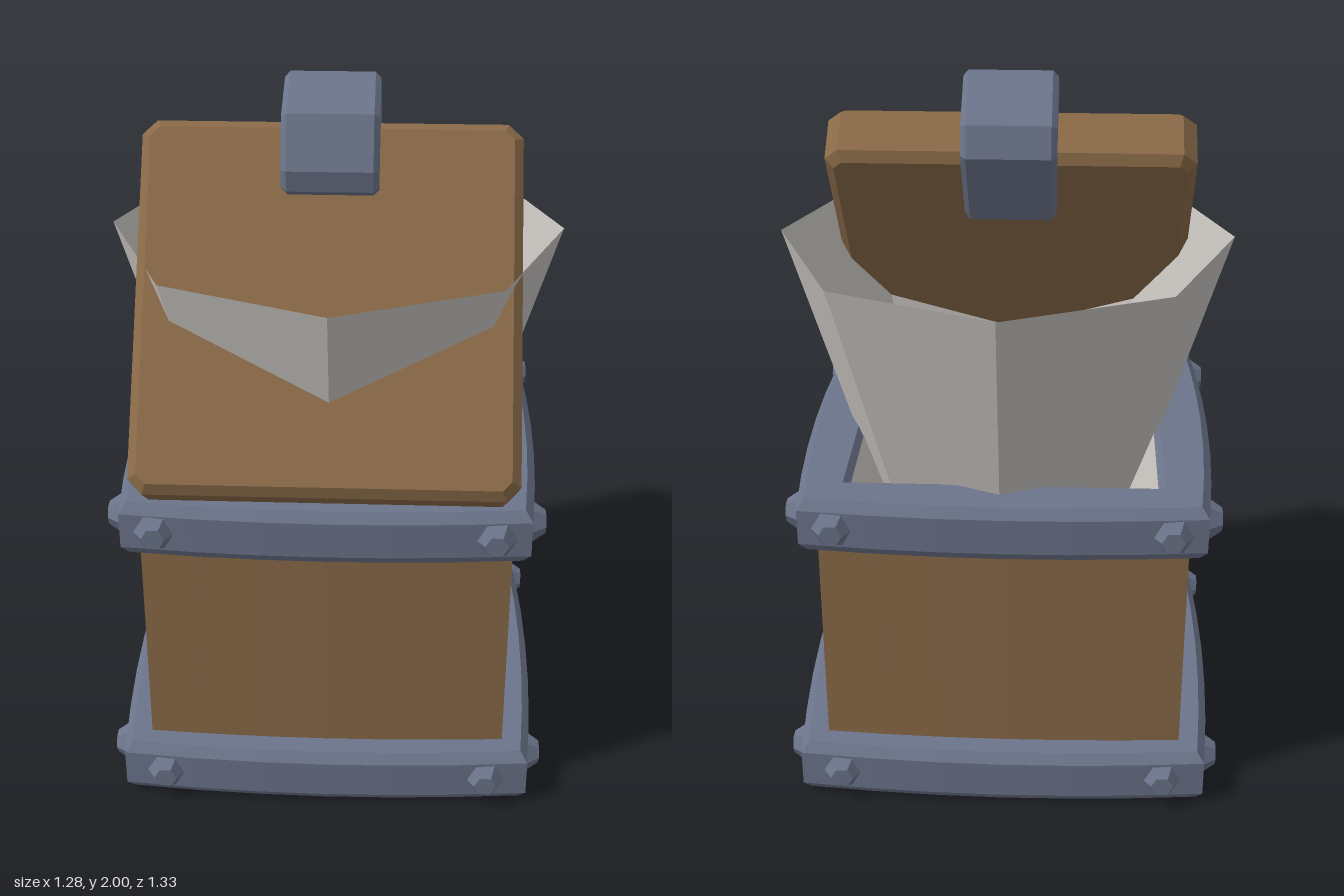
import * as THREE from 'three';

const mat = (name, color, extra = {}) => {
  const m = new THREE.MeshStandardMaterial({ color, flatShading: true, ...extra });
  m.name = name;
  return m;
};

// Square outline whose sides bulge outward by `bow` at the middle
function bowedSquare(corner, bow, steps = 6) {
  const pts = [];
  for (let side = 0; side < 4; side++) {
    for (let i = 0; i < steps; i++) {
      const t = -1 + (2 * i) / steps;
      const p = new THREE.Vector2(t * corner, -corner - bow * (1 - t * t));
      pts.push(p.rotateAround(new THREE.Vector2(), (side * Math.PI) / 2));
    }
  }
  return new THREE.Shape(pts);
}

function squareHole(h) {
  return new THREE.Path([[-h, -h], [-h, h], [h, h], [h, -h]].map(([x, y]) => new THREE.Vector2(x, y)));
}

// Upright prism between y0 and y1 with a chamfer on both rims
function prism(shape, y0, y1, bevelSize = 0, bevelThickness = 0) {
  const g = new THREE.ExtrudeGeometry(shape, {
    depth: y1 - y0 - 2 * bevelThickness, bevelEnabled: bevelSize > 0,
    bevelSize, bevelThickness, bevelSegments: 1,
  });
  return g.rotateX(-Math.PI / 2).translate(0, y0 + bevelThickness, 0);
}

export function createModel() {
  const root = new THREE.Group();
  const wood = mat('wood', 0x8a6a48);
  const metal = mat('metal', 0x6b748a);
  const cloth = mat('liner cloth', 0xc6c2be, { side: THREE.DoubleSide });

  const add = (name, geometry, material, parent = root) => {
    const m = new THREE.Mesh(geometry, material);
    m.name = name;
    parent.add(m);
    return m;
  };

  // Bin body, slightly off centre
  const bin = new THREE.Group();
  bin.name = 'bin';
  bin.position.set(-0.01, 0, 0.004);
  root.add(bin);

  const bodyShape = bowedSquare(0.512, 0.018);
  bodyShape.holes.push(squareHole(0.44));
  add('body', prism(bodyShape, 0.1, 0.88), wood, bin);
  add('innerFloor', new THREE.BoxGeometry(0.7, 0.04, 0.7).translate(0, 0.7, 0), wood, bin);

  // Sloped inner lining below the rim
  const lining = new THREE.CylinderGeometry(0.425 * Math.SQRT2, 0.33 * Math.SQRT2, 0.23, 4, 1, true);
  add('innerLining', lining.rotateY(Math.PI / 4).translate(0, 0.835, 0), cloth, bin);

  // Metal bands with bolts near each corner
  const bands = [
    { name: 'baseBand', y0: 0, y1: 0.165, corner: 0.585, hole: 0 },
    { name: 'rimBand', y0: 0.8, y1: 0.96, corner: 0.56, hole: 0.445 },
  ];
  for (const b of bands) {
    const shape = bowedSquare(b.corner - 0.022, 0.028);
    if (b.hole) shape.holes.push(squareHole(b.hole));
    add(b.name, prism(shape, b.y0, b.y1, 0.022, 0.028), metal, bin);
    for (let side = 0; side < 4; side++) {
      for (const s of [-1, 1]) {
        const bolt = new THREE.CylinderGeometry(0.032, 0.062, 0.045, 6)
          .rotateY(Math.PI / 6).rotateX(Math.PI / 2)
          .translate(s * 0.462, (b.y0 + b.y1) / 2, b.corner + 0.018)
          .rotateY((side * Math.PI) / 2);
        add(b.name + 'Bolt', bolt, metal, bin);
      }
    }
  }

  // Flared eight-sided bag
  const bag = new THREE.CylinderGeometry(0.64, 0.388, 0.825, 8, 1, true);
  add('bag', bag.translate(0, 1.1325, -0.03), cloth);

  // Tilted lid: local y runs up the slab, local z is its outer face
  const lid = new THREE.Group();
  lid.name = 'lid';
  lid.position.set(-0.01, 1.42, 0.296);
  lid.rotation.x = -Math.atan2(0.596, 0.803);
  root.add(lid);

  const w = 0.49, h = 0.485, c = 0.025;
  const slab = new THREE.Shape([
    [-w + c, -h], [w - c, -h], [w, -h + c], [w, h - c],
    [w - c, h], [-w + c, h], [-w, h - c], [-w, -h + c],
  ].map(([x, y]) => new THREE.Vector2(x, y)));
  const slabGeo = new THREE.ExtrudeGeometry(slab, {
    depth: 0.13, bevelSize: 0.025, bevelThickness: 0.025, bevelSegments: 1,
  });
  add('lidSlab', slabGeo.translate(0, 0, -0.065), wood, lid);

  // Hooked clasp wrapping the upper lid edge; profile is (depth, height) in lid space
  const profile = [
    [-0.13, 0.315], [0.09, 0.315], [0.14, 0.307], [0.175, 0.34], [0.21, 0.475],
    [0.108, 0.622], [-0.075, 0.632], [-0.135, 0.585],
  ];
  const clasp = new THREE.Shape(profile.map(([z, y]) => new THREE.Vector2(-z, y)));
  const claspGeo = new THREE.ExtrudeGeometry(clasp, {
    depth: 0.23, bevelSize: 0.015, bevelThickness: 0.015, bevelSegments: 1,
  });
  add('clasp', claspGeo.translate(0, 0, -0.115).rotateY(Math.PI / 2), metal, lid);

  return root;
}
